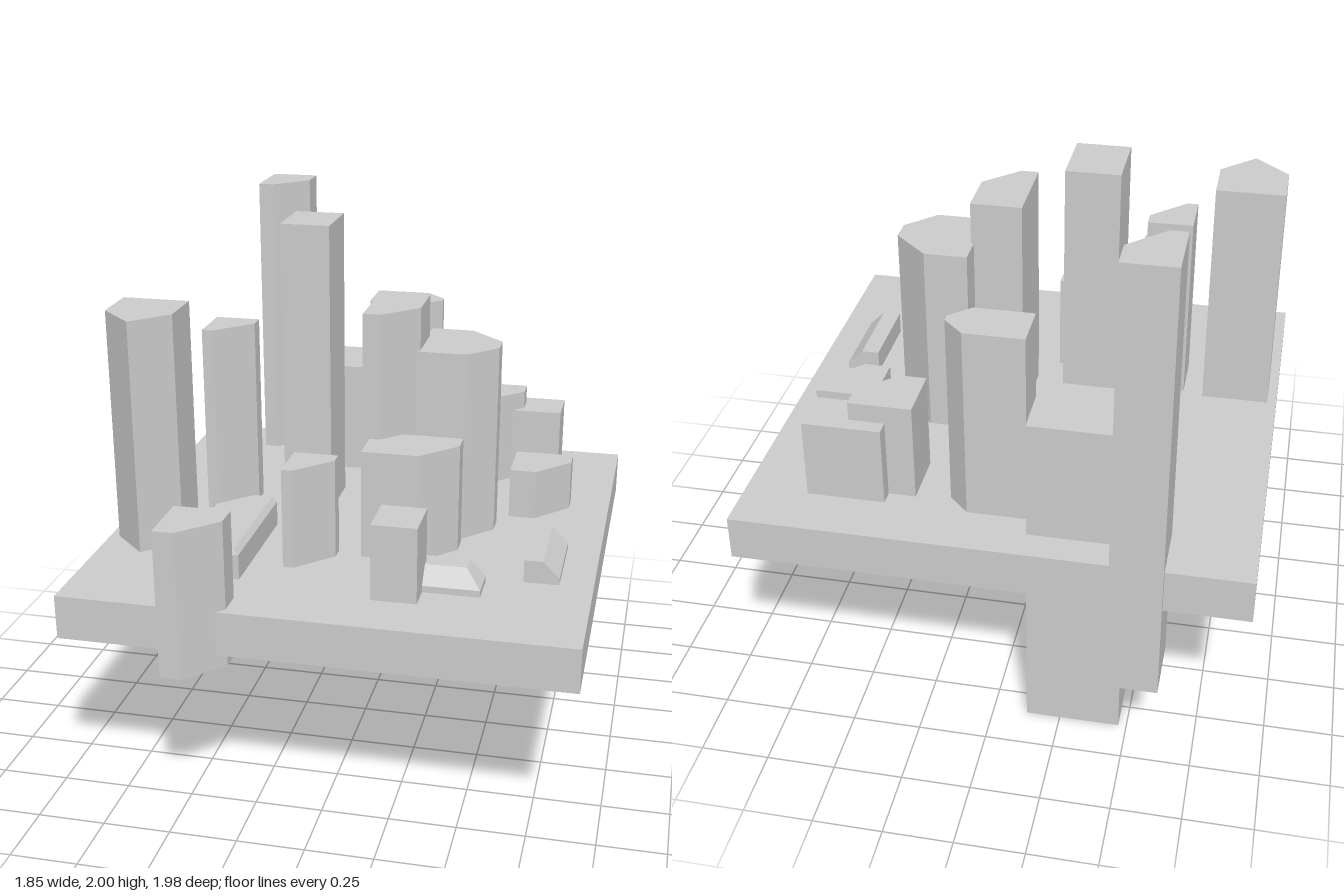
import * as THREE from 'three';

const material = new THREE.MeshStandardMaterial({ color: 0xcccccc, flatShading: true });
const DECK = 0.84; // top of the base slab

// Upright prism over a footprint of [x, z] corners
function prism(name, corners, top, bottom = DECK) {
  const shape = new THREE.Shape(corners.map(([x, z]) => new THREE.Vector2(x, -z)));
  const geometry = new THREE.ExtrudeGeometry(shape, { depth: top - bottom, bevelEnabled: false });
  geometry.rotateX(-Math.PI / 2);
  geometry.translate(0, bottom, 0);
  const mesh = new THREE.Mesh(geometry, material);
  mesh.name = name;
  return mesh;
}

// Rectangular footprint
const rect = (x0, x1, z0, z1) => [[x0, z0], [x0, z1], [x1, z1], [x1, z0]];

// Rectangular footprint with the +x +z corner cut off from xc to zc
const cut = (x0, x1, z0, z1, xc, zc) => [[x0, z0], [x0, z1], [xc, z1], [x1, zc], [x1, z0]];

// Low block whose roof slopes in on its +x and +z sides above the shoulder
function slopedBlock(name, [x0, x1, z0, z1], shoulder, top, insetX, insetZ) {
  const geometry = new THREE.BoxGeometry(1, 1, 1, 1, 2, 1);
  const p = geometry.attributes.position;
  for (let i = 0; i < p.count; i++) {
    const level = p.getY(i);
    const roof = level > 0.25 ? 1 : 0;
    const x = p.getX(i) < 0 ? x0 : x1 - roof * insetX;
    const z = p.getZ(i) < 0 ? z0 : z1 - roof * insetZ;
    p.setXYZ(i, x, level < -0.25 ? DECK : roof ? top : shoulder, z);
  }
  geometry.computeVertexNormals();
  const mesh = new THREE.Mesh(geometry, material);
  mesh.name = name;
  return mesh;
}

export function createModel() {
  const city = new THREE.Group();
  city.name = 'cityBlock';

  city.add(
    prism('baseSlab', rect(-0.925, 0.92, -0.965, 0.885), DECK, 0.675),

    // Towers that pass through or hang over the slab
    prism('backEdgeTower', cut(-0.62, -0.435, -0.99, -0.75, -0.56, -0.875), 2.0, 0.32),
    prism('deepBlock', rect(-0.47, -0.125, -0.85, -0.565), 1.29, 0),
    prism('throughTower', rect(-0.35, -0.16, -0.335, -0.095), 1.98, 0.3),
    prism('throughBlock', cut(0.305, 0.535, -0.71, -0.5, 0.405, -0.63), 1.21, 0.535),
    prism('frontEdgeTower', cut(-0.51, -0.305, 0.76, 0.985, -0.435, 0.855), 1.17, 0.62),

    // Towers standing on the slab
    prism('backTower', [[-0.11, -0.765], [-0.11, -0.59], [0.105, -0.59], [0.18, -0.66],
      [0.18, -0.69], [0.105, -0.765]], 1.57),
    prism('backBlock', rect(0.405, 0.69, -0.765, -0.59), 1.14),
    prism('sideBlock', cut(0.54, 0.765, -0.39, -0.175, 0.64, -0.31), 1.035),
    prism('centralTower', [[0.21, -0.24], [0.21, 0.08], [0.395, 0.08], [0.5, -0.03],
      [0.5, -0.115], [0.37, -0.24]], 1.57),
    prism('tallCentralTower', cut(0.03, 0.22, -0.13, 0.185, 0.095, 0.06), 1.73),
    prism('frontBlock', cut(0.055, 0.395, 0.11, 0.325, 0.265, 0.19), 1.255),
    prism('slimTower', cut(-0.57, -0.405, 0.025, 0.21, -0.53, 0.085), 1.64, 0.935),
    prism('pointedTower', [[-0.89, 0.15], [-0.89, 0.34], [-0.76, 0.467], [-0.635, 0.34],
      [-0.635, 0.15]], 1.73),
    prism('smallTower', cut(-0.205, -0.038, 0.29, 0.475, -0.165, 0.345), 1.22),
    prism('smallBox', rect(0.165, 0.33, 0.49, 0.675), 1.125),

    // Low sheds with sloped roofs
    slopedBlock('longShed', [-0.535, -0.33, 0.1, 0.615], 0.935, 0.955, 0.018, 0.008),
    slopedBlock('sideShed', [0.67, 0.798, 0.09, 0.415], 0.865, 0.925, 0.06, 0),
    slopedBlock('cornerShed', [0.22, 0.537, 0.445, 0.575], 0.865, 0.925, 0.057, 0.055),
  );
  return city;
}
